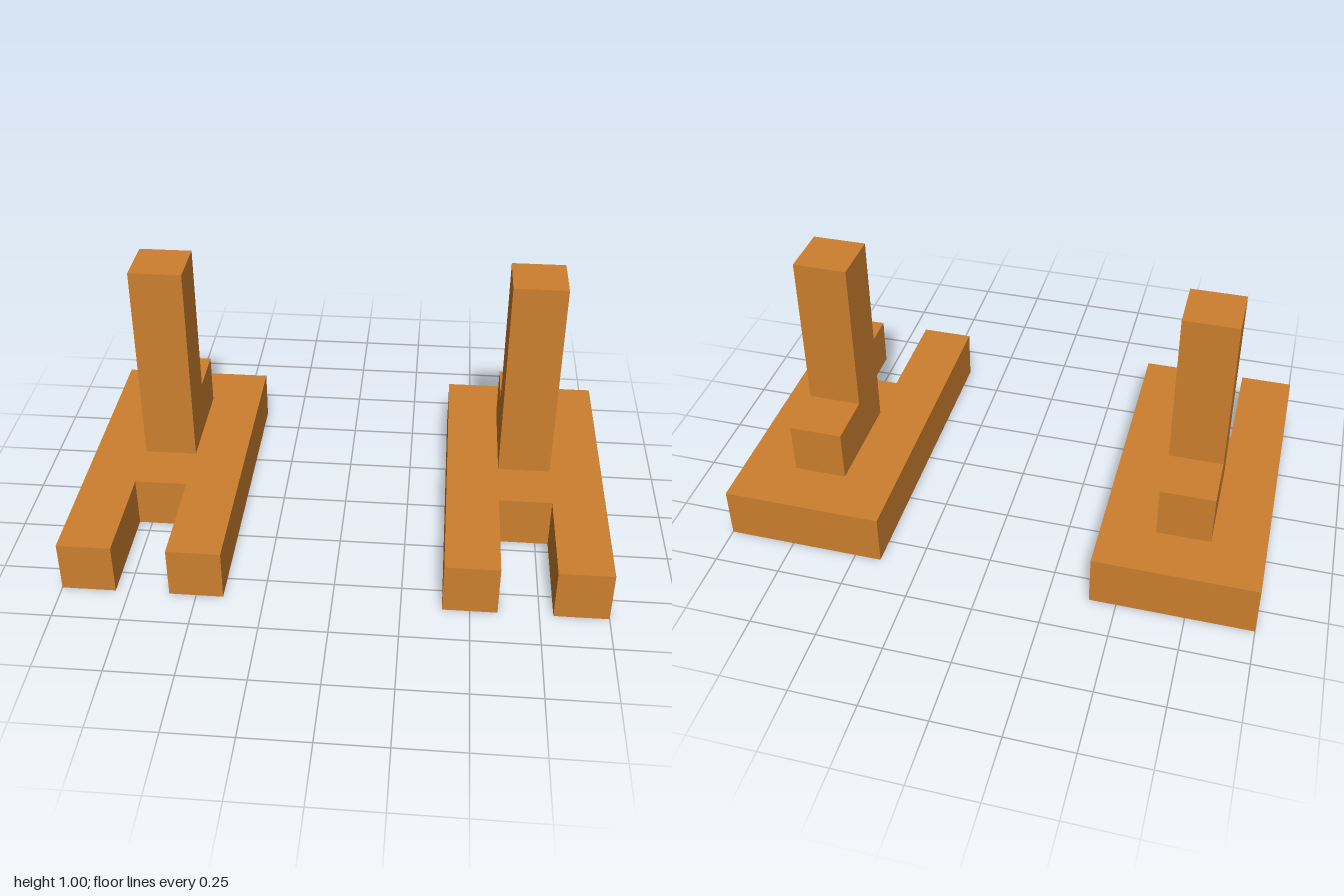
import * as THREE from 'three';

// Extrudes a closed outline of [u, v] points
function extrude(points, depth) {
  const shape = new THREE.Shape(points.map(([u, v]) => new THREE.Vector2(u, v)));
  return new THREE.ExtrudeGeometry(shape, { depth, bevelEnabled: false });
}

export function createModel() {
  const model = new THREE.Group();
  model.name = 'pairOfFeet';
  const orange = new THREE.MeshStandardMaterial({ color: 0xcc7f2e });
  orange.name = 'orange';

  // Flat foot with a notch between two toes, outlined in x and -z
  const footGeometry = extrude([
    [-0.3, -0.6], [-0.1, -0.6], [-0.1, -0.2], [0.1, -0.2],
    [0.1, -0.6], [0.3, -0.6], [0.3, 0.6], [-0.3, 0.6],
  ], 0.2).rotateX(-Math.PI / 2);

  // Upright leg with a heel block behind it, outlined in -z and y
  const legGeometry = extrude([
    [0, 0.2], [0.4, 0.2], [0.4, 0.4], [0.2, 0.4], [0.2, 1], [0, 1],
  ], 0.2).rotateY(Math.PI / 2).translate(-0.1, 0, 0);

  for (const [side, x] of [['left', 0.7], ['right', -0.7]]) {
    const group = new THREE.Group();
    group.name = side + 'LegAndFoot';
    group.position.x = x;
    const foot = new THREE.Mesh(footGeometry, orange);
    foot.name = side + 'Foot';
    const leg = new THREE.Mesh(legGeometry, orange);
    leg.name = side + 'Leg';
    group.add(foot, leg);
    model.add(group);
  }
  return model;
}
